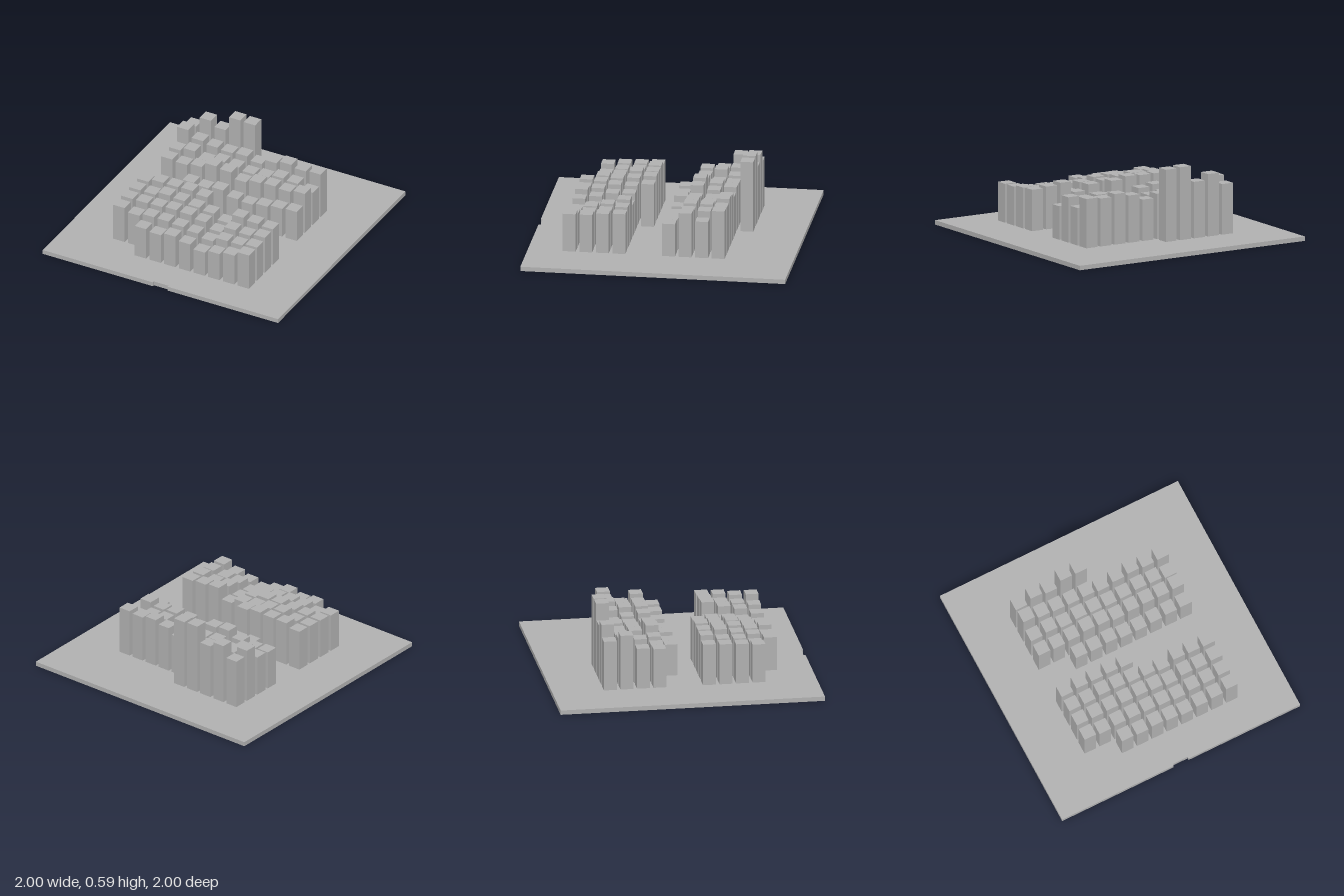
import * as THREE from 'three';

const PITCH = 0.125;      // spacing of the 16 x 16 socket grid
const PLATE = 0.034;      // total plate thickness
const POCKET_DEPTH = 0.02;
const POCKET = 0.072;     // width of a socket on the underside
const PILLAR = 0.097;     // width of a pillar

// Pillar rows from back to front: z, first column, top heights in hundredths
const ROWS = [
  [-0.5625, 0, [42, 51, 46.5, 59, 58.5]],
  [-0.4375, 0, [46, 40, 38, 37, 38, 35, 39.5, 42, 40, 41]],
  [-0.3125, 0, [35, 38, 33, 36, 35, 33, 34, 37, 36, 32]],
  [-0.1875, 0, [34, 33, 35, 39.5, 38, 33, 36, 37, 36, 38]],
  [-0.0625, 2, [28, 27, 29, 25, 24, 26, 28, 29]],
  [0.1875, 0, [35.5, 38.5, 38.5, 39, 37]],
  [0.3125, 0, [35, 35, 38, 37, 35, 33.5, 29, 37.5, 36, 35]],
  [0.4375, 0, [34.5, 34.5, 35, 36, 35.5, 33, 28, 33.5, 32.5, 34.5]],
  [0.5625, 0, [33.5, 30.5, 33, 33, 32, 30, 27, 31, 31, 33]],
  [0.6875, 2, [29.5, 28, 30.5, 27.5, 24, 26.5, 29, 33]],
];

// Square outline with a shallow notch in the middle of the front edge
function plateShape() {
  return new THREE.Shape([
    [-1, -1], [-0.0625, -1], [-0.0625, -0.985], [0.0625, -0.985],
    [0.0625, -1], [1, -1], [1, 1], [-1, 1],
  ].map(([x, y]) => new THREE.Vector2(x, y)));
}

function squareHole(x, y, size) {
  const h = size / 2;
  return new THREE.Path([
    [x - h, y - h], [x - h, y + h], [x + h, y + h], [x + h, y - h],
  ].map(([px, py]) => new THREE.Vector2(px, py)));
}

function slab(shape, bottom, thickness) {
  const geometry = new THREE.ExtrudeGeometry(shape, { depth: thickness, bevelEnabled: false });
  return geometry.rotateX(-Math.PI / 2).translate(0, bottom, 0);
}

export function createModel() {
  const group = new THREE.Group();
  group.name = 'pillarBoard';
  const grey = new THREE.MeshStandardMaterial({ name: 'grey', color: 0xb0b0b0 });

  const add = (parent, name, geometry) => {
    const mesh = new THREE.Mesh(geometry, grey);
    mesh.name = name;
    parent.add(mesh);
    return mesh;
  };

  // Base plate: a solid top over a lower layer pierced by the sockets
  const plate = new THREE.Group();
  plate.name = 'basePlate';
  group.add(plate);
  add(plate, 'plateTop', slab(plateShape(), POCKET_DEPTH, PLATE - POCKET_DEPTH));
  const lower = plateShape();
  for (let i = 0; i < 16; i++) {
    for (let j = 0; j < 16; j++) {
      lower.holes.push(squareHole((i - 7.5) * PITCH, (j - 7.5) * PITCH, POCKET));
    }
  }
  add(plate, 'socketLayer', slab(lower, 0, POCKET_DEPTH));

  // Pillars of varying height in two blocks of five rows
  const pillars = new THREE.Group();
  pillars.name = 'pillars';
  group.add(pillars);
  for (const [z, first, tops] of ROWS) {
    tops.forEach((top, i) => {
      const height = top / 100 - PLATE;
      const pillar = add(pillars, 'pillar', new THREE.BoxGeometry(PILLAR, height, PILLAR));
      pillar.position.set((first + i - 4.5) * PITCH, PLATE + height / 2, z);
    });
  }
  return group;
}
